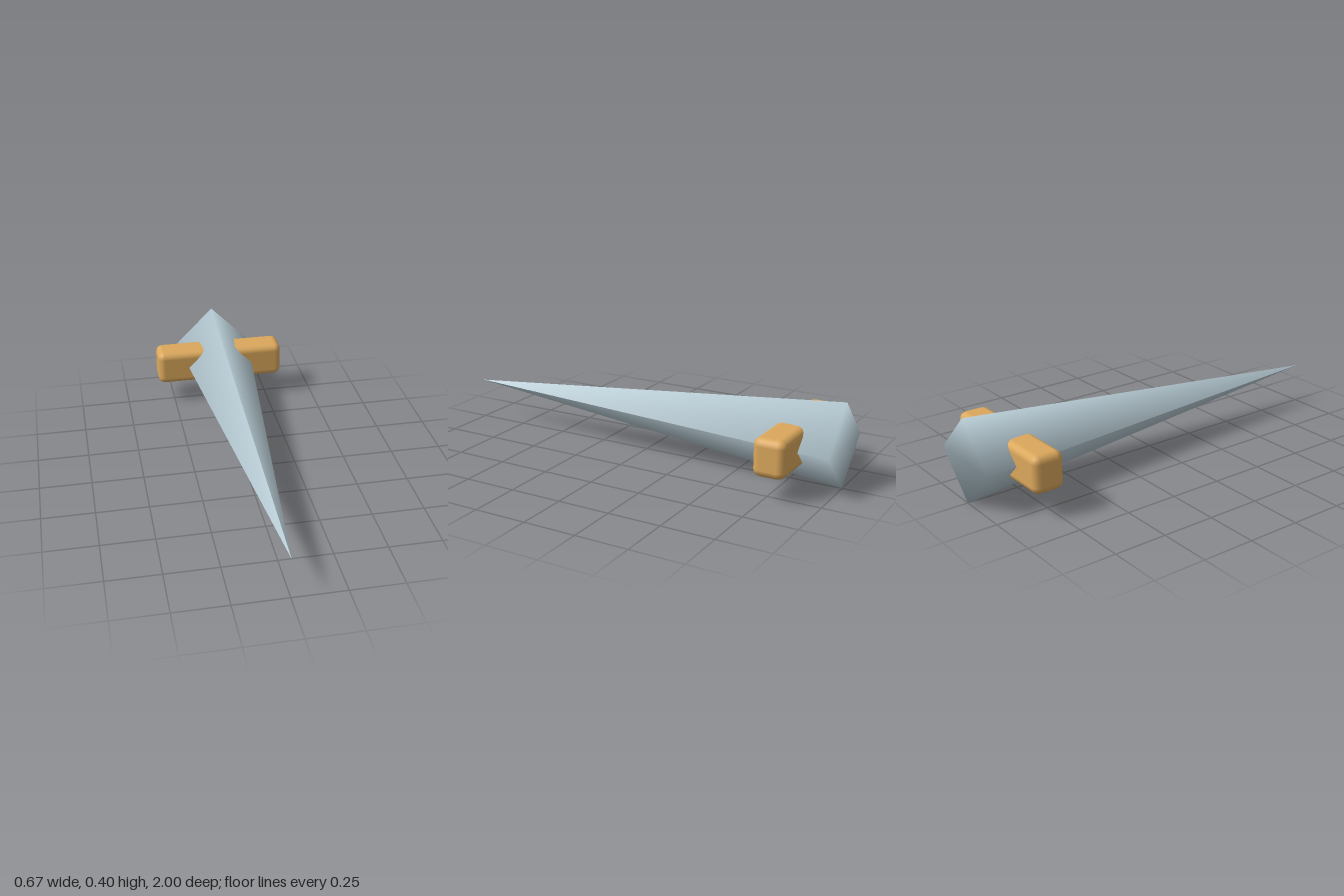
import * as THREE from 'three';
import { RoundedBoxGeometry } from 'three/addons/geometries/RoundedBoxGeometry.js';

const RADIUS = 0.2;

// Four-sided spike along +z: faceted at the tip, softly shaded around the closed base
function spikeGeometry() {
  const positions = [];
  const normals = [];
  const tip = new THREE.Vector3(0, 0, 1);
  const corners = [0, 1, 2, 3].map((i) => {
    const a = (i * Math.PI) / 2;
    return new THREE.Vector3(Math.round(Math.cos(a)) * RADIUS, Math.round(Math.sin(a)) * RADIUS, -1);
  });
  const baseNormals = corners.map((c) => new THREE.Vector3(c.x / RADIUS, c.y / RADIUS, -0.07).normalize());
  const add = (p, n) => {
    positions.push(p.x, p.y, p.z);
    normals.push(n.x, n.y, n.z);
  };

  // Sloping sides
  for (let i = 0; i < 4; i++) {
    const j = (i + 1) % 4;
    const faceNormal = new THREE.Triangle(corners[i], corners[j], tip).getNormal(new THREE.Vector3());
    add(corners[i], baseNormals[i]);
    add(corners[j], baseNormals[j]);
    add(tip, faceNormal);
  }
  // Base cap
  for (const i of [0, 2, 1, 0, 3, 2]) add(corners[i], baseNormals[i]);

  const geometry = new THREE.BufferGeometry();
  geometry.setAttribute('position', new THREE.Float32BufferAttribute(positions, 3));
  geometry.setAttribute('normal', new THREE.Float32BufferAttribute(normals, 3));
  return geometry;
}

export function createModel() {
  const model = new THREE.Group();
  model.name = 'spikeWithCrossbar';

  const steel = new THREE.MeshStandardMaterial({ color: 0xb8ccd5 });
  steel.name = 'pale steel';
  const amber = new THREE.MeshStandardMaterial({ color: 0xdba85c });
  amber.name = 'amber';

  const spike = new THREE.Mesh(spikeGeometry(), steel);
  spike.name = 'spike';
  spike.position.y = RADIUS;
  model.add(spike);

  // Rounded bar passing through the spike near its base
  const crossbar = new THREE.Mesh(new RoundedBoxGeometry(0.667, 0.177, 0.15, 2, 0.035), amber);
  crossbar.name = 'crossbar';
  crossbar.position.set(0, 0.2, -0.78);
  model.add(crossbar);

  return model;
}
